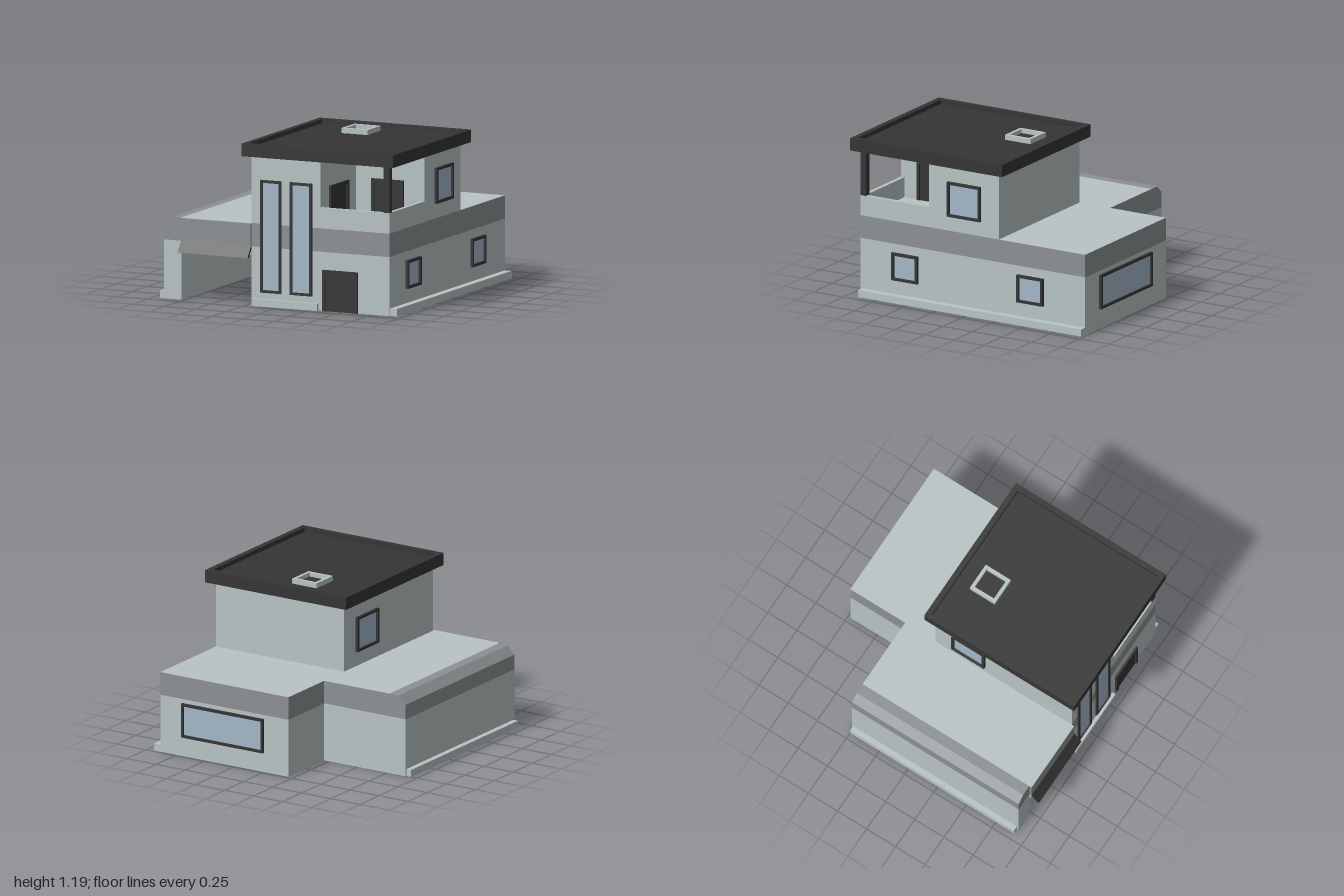
import * as THREE from 'three';
import { mergeGeometries } from 'three/addons/utils/BufferGeometryUtils.js';

const material = (name, color, side = THREE.FrontSide) => {
  const m = new THREE.MeshStandardMaterial({ color, side });
  m.name = name;
  return m;
};

export function createModel() {
  const house = new THREE.Group();
  house.name = 'house';
  const plaster = material('pale plaster', 0xb9c4c4, THREE.DoubleSide);
  const grey = material('grey band', 0x8d9193, THREE.DoubleSide);
  const dark = material('charcoal trim', 0x353535);
  const glass = material('blue glass', 0xa5b7c9);

  const add = (parent, name, geo, mat) => {
    const m = new THREE.Mesh(geo, mat);
    m.name = name;
    parent.add(m);
    return m;
  };

  // Box given by its limits on each axis
  const box = (name, mat, x0, x1, y0, y1, z0, z1, parent = house) =>
    add(parent, name, new THREE.BoxGeometry(x1 - x0, y1 - y0, z1 - z0)
      .translate((x0 + x1) / 2, (y0 + y1) / 2, (z0 + z1) / 2), mat);

  // Horizontal sheet facing up
  const deck = (name, mat, x0, x1, z0, z1, y) =>
    add(house, name, new THREE.PlaneGeometry(x1 - x0, z1 - z0).rotateX(-Math.PI / 2)
      .translate((x0 + x1) / 2, y, (z0 + z1) / 2), mat);

  // Rectangular ring, extruded along z
  const ring = (u0, u1, v0, v1, w, depth) => {
    const rect = (S, i) => new S([[u0 + i, v0 + i], [u1 - i, v0 + i], [u1 - i, v1 - i], [u0 + i, v1 - i]]
      .map(p => new THREE.Vector2(...p)));
    const s = rect(THREE.Shape, 0);
    s.holes.push(rect(THREE.Path, w));
    return new THREE.ExtrudeGeometry(s, { depth, bevelEnabled: false });
  };

  // Facade group: local x runs along the wall, local z points outwards
  const facade = (name, turn, d) => {
    const g = new THREE.Group();
    g.name = name;
    g.rotation.y = turn * Math.PI / 2;
    g.userData.d = d;
    house.add(g);
    return g;
  };

  // Flat wall panel made of strips around rectangular openings
  const wall = (g, name, mat, u0, u1, v0, v1, holes = []) => {
    const cuts = (a, b, i) => [a, b, ...holes.flatMap(h => [h[i], h[i + 1]]).filter(t => t > a && t < b)]
      .sort((p, q) => p - q);
    const us = cuts(u0, u1, 0), vs = cuts(v0, v1, 2), cells = [];
    for (let i = 1; i < us.length; i++) for (let j = 1; j < vs.length; j++) {
      const w = us[i] - us[i - 1], h = vs[j] - vs[j - 1];
      const u = us[i] - w / 2, v = vs[j] - h / 2;
      if (w < 1e-6 || h < 1e-6 || holes.some(k => u > k[0] && u < k[1] && v > k[2] && v < k[3])) continue;
      cells.push(new THREE.PlaneGeometry(w, h).translate(u, v, g.userData.d));
    }
    add(g, name, mergeGeometries(cells), mat);
  };

  // Lower storey: plaster below, grey band above
  const lowerWall = (g, u0, u1, holes) => {
    wall(g, 'lowerWall', plaster, u0, u1, 0, 0.43, holes);
    wall(g, 'wallBand', grey, u0, u1, 0.43, 0.6, holes);
  };

  const windowUnit = (g, [u0, u1, v0, v1], depth = 0.02) => {
    const w = 0.019, d = g.userData.d;
    add(g, 'windowFrame', ring(u0, u1, v0, v1, w, depth).translate(0, 0, d), dark);
    add(g, 'windowGlass', new THREE.PlaneGeometry(u1 - u0 - 2 * w, v1 - v0 - 2 * w)
      .translate((u0 + u1) / 2, (v0 + v1) / 2, d + 0.006), glass);
  };

  const door = (g, u0, u1, v0, v1) => {
    const d = g.userData.d, w = 0.024;
    box('doorPanel', dark, u0 + w, u1 - w, v0, v1 - w, d, d + 0.006, g);
    box('doorHead', dark, u0, u1, v1 - w, v1, d, d + 0.016, g);
    for (const u of [u0, u1 - w]) box('doorJamb', dark, u, u + w, v0, v1 - w, d, d + 0.016, g);
  };

  // Front
  const front = facade('frontFacade', 0, 0.92);
  const tall = [[-0.135, 0.03, 0.1, 0.92], [0.1, 0.275, 0.1, 0.92]];
  lowerWall(front, -0.21, 0.89, tall);
  wall(front, 'upperWall', plaster, -0.21, 0.34, 0.6, 1.09, tall);
  tall.forEach(h => windowUnit(front, h, 0.015));
  door(front, 0.36, 0.64, 0, 0.3);

  // Right side
  const right = facade('rightFacade', 1, 0.89);
  const rightLow = [[-0.65, -0.43, 0.16, 0.365], [0.41, 0.63, 0.16, 0.365]];
  const upper = [-0.18, 0.1, 0.71, 0.97];
  lowerWall(right, -0.92, 0.98, rightLow);
  wall(right, 'upperWall', plaster, -0.34, 0.25, 0.6, 1.09, [upper]);
  [...rightLow, upper].forEach(h => windowUnit(right, h, 0.022));

  // Left side
  const left = facade('leftFacade', -1, 0.21);
  const leftUpper = [-0.1, 0.18, 0.71, 0.97];
  lowerWall(left, -0.98, 0.92);
  wall(left, 'upperWall', plaster, -0.25, 0.92, 0.6, 1.09, [leftUpper]);
  windowUnit(left, leftUpper, 0.022);

  // Back
  const back = facade('backFacade', 2, 0.98);
  const wide = [-0.7, 0, 0.145, 0.4];
  lowerWall(back, -0.89, 0.21, [wide]);
  windowUnit(back, wide);
  wall(facade('upperBackFacade', 2, 0.25), 'upperWall', plaster, -0.89, 0.21, 0.6, 1.09);
  deck('rearRoof', plaster, -0.21, 0.89, -0.98, -0.25, 0.6);

  // Corner balcony
  deck('balconyFloor', plaster, 0.34, 0.89, 0.34, 0.92, 0.6);
  const balconyBack = facade('balconyBackWall', 0, 0.34);
  wall(balconyBack, 'wall', plaster, 0.34, 0.89, 0.6, 1.09);
  door(balconyBack, 0.47, 0.725, 0.6, 0.89);
  const balconySide = facade('balconySideWall', 1, 0.34);
  wall(balconySide, 'wall', plaster, -0.92, -0.34, 0.6, 1.09);
  door(balconySide, -0.78, -0.48, 0.6, 0.89);
  box('balconyParapet', plaster, 0.34, 0.89, 0.6, 0.75, 0.89, 0.92);
  box('balconyParapet', plaster, 0.86, 0.89, 0.6, 0.75, 0.34, 0.89);
  box('balconyPost', dark, 0.845, 0.89, 0.75, 1.09, 0.875, 0.92);

  // Main roof with raised rim and skylight
  box('roofSlab', dark, -0.265, 0.945, 1.09, 1.15, -0.31, 0.975);
  add(house, 'roofRim', ring(-0.265, 0.945, -0.975, 0.31, 0.042, 0.032)
    .rotateX(-Math.PI / 2).translate(0, 1.15, 0), dark);
  add(house, 'skylightFrame', ring(0.09, 0.3, -0.065, 0.15, 0.025, 0.037)
    .rotateX(-Math.PI / 2).translate(0, 1.15, 0), plaster);
  box('skylightPane', dark, 0.115, 0.275, 1.15, 1.157, -0.125, 0.04);

  // Carport wing
  const wingLeft = facade('wingLeftWall', -1, 0.91);
  wall(wingLeft, 'lowerWall', plaster, -0.51, 0.92, 0, 0.43);
  const wingBack = facade('wingBackWall', 2, 0.51);
  wall(wingBack, 'lowerWall', plaster, 0.21, 0.91, 0, 0.43);
  wall(wingBack, 'wallBand', grey, 0.21, 0.77, 0.43, 0.6);
  wall(front, 'wingPier', plaster, -0.91, -0.77, 0, 0.43);
  wall(facade('wingInnerWall', 1, -0.77), 'wall', plaster, -0.92, 0.51, 0, 0.6);
  deck('wingRoof', plaster, -0.77, -0.21, -0.51, 0.94, 0.6);
  box('carportLintel', grey, -0.77, -0.21, 0.43, 0.598, 0.91, 0.94);
  box('carportLintelBase', plaster, -0.77, -0.21, 0.37, 0.43, 0.91, 0.935);

  // Chamfered cap along the outer edge of the wing
  const extrude = (pts, depth) => new THREE.ExtrudeGeometry(
    new THREE.Shape(pts.map(p => new THREE.Vector2(...p))), { depth, bevelEnabled: false });
  add(house, 'wingCap', extrude(
    [[-0.91, 0.43], [-0.77, 0.43], [-0.77, 0.6], [-0.85, 0.6], [-0.91, 0.54]], 1.43)
    .translate(0, 0, -0.51), grey);

  // Sloped awning over the carport opening
  add(house, 'awning', extrude([[0.935, 0.41], [0.978, 0.355], [1, 0.355], [0.94, 0.437], [0.935, 0.437]], 0.56)
    .rotateY(-Math.PI / 2).translate(-0.205, 0, 0), dark);

  // Plinths and front step
  box('rightPlinth', plaster, 0.89, 0.945, 0, 0.053, -0.98, 0.91);
  box('leftPlinth', plaster, -0.95, -0.91, 0, 0.053, -0.5, 0.905);
  box('frontStep', plaster, -0.19, 0.325, 0, 0.053, 0.92, 0.947);
  return house;
}
